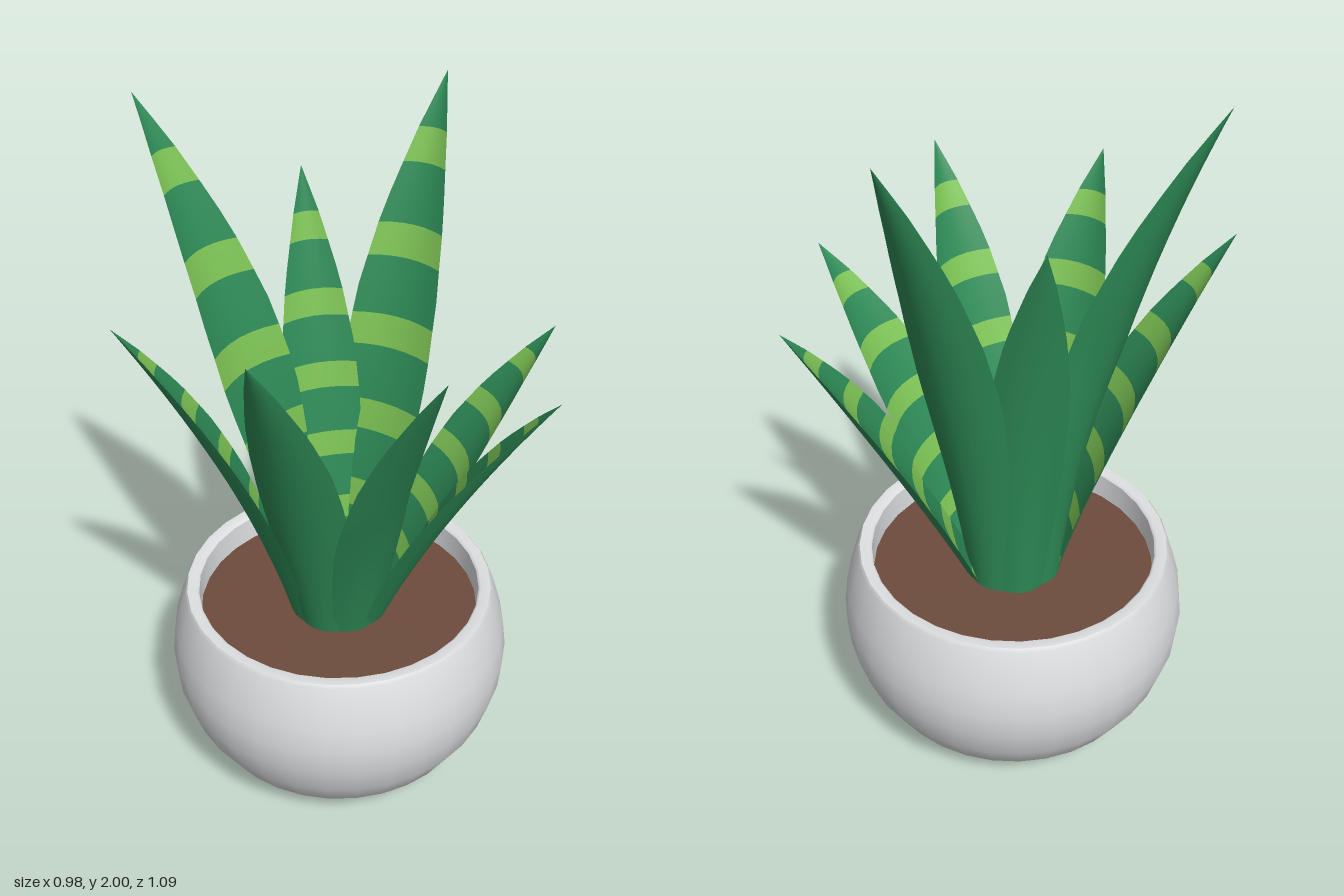
import * as THREE from 'three';

const mat = (name, color) => {
  const m = new THREE.MeshStandardMaterial({ color });
  m.name = name;
  return m;
};

const BASE_Y = 0.49;
const BASE_RADIUS = 0.135;
const COLS = 6;
const STRIPES = 6;

// Half width of a leaf along its length, as [t, half width] pairs
const WIDTHS = [[0, 0.07], [0.2, 0.1], [0.35, 0.12], [0.48, 0.126], [0.62, 0.116],
  [0.76, 0.088], [0.9, 0.042], [1, 0]];

function halfWidth(t) {
  for (let i = 1; i < WIDTHS.length; i++) {
    const [t0, w0] = WIDTHS[i - 1];
    const [t1, w1] = WIDTHS[i];
    if (t <= t1) return THREE.MathUtils.lerp(w0, w1, (t - t0) / (t1 - t0));
  }
  return 0;
}

// Rows along the leaf: each one starts a dark or a light band
function leafRows() {
  const rows = [{ t: 0, light: false }];
  for (let k = 0; k < STRIPES; k++) {
    rows.push({ t: (k + 0.07) / STRIPES, light: true });
    rows.push({ t: (k + 0.43) / STRIPES, light: false });
    rows.push({ t: (k + 0.75) / STRIPES, light: false });
  }
  rows.push({ t: 1, light: false });
  return rows;
}

// A fleshy blade: a rounded plain back and a flatter striped face sharing their edges.
// A lean of 1 is a straight leaf, a lower one stands up first and bends out later.
function makeLeaf({ x, y, z, lean, width = 1, twist = 0 }, dark, light) {
  const rows = leafRows();
  const angle = Math.atan2(z, x);
  const reach = Math.hypot(x, z);
  const facePoints = [];
  const backPoints = [];
  for (const { t } of rows) {
    const r = BASE_RADIUS + (reach - BASE_RADIUS) * (lean * t + (1 - lean) * t * t);
    const hw = halfWidth(t) * width;
    const a = angle + twist * Math.min(1, t * 2);
    const edge = hw * 0.42;
    const thickness = 0.038 * (1 - t ** 1.5);
    for (let c = 0; c <= COLS; c++) {
      const u = (c / COLS) * 2 - 1;
      const addPoint = (points, inward) => points.push(
        Math.cos(angle) * r - Math.sin(a) * u * hw - Math.cos(a) * inward,
        THREE.MathUtils.lerp(BASE_Y, y, t),
        Math.sin(angle) * r + Math.cos(a) * u * hw - Math.sin(a) * inward,
      );
      addPoint(backPoints, edge * u * u);
      addPoint(facePoints, THREE.MathUtils.lerp(thickness, edge, u * u));
    }
  }

  const face = new THREE.BufferGeometry();
  const back = new THREE.BufferGeometry();
  const faceIndex = [];
  const backIndex = [];
  for (let i = 0; i < rows.length - 1; i++) {
    face.addGroup(faceIndex.length, COLS * 6, rows[i].light ? 1 : 0);
    for (let c = 0; c < COLS; c++) {
      const p = i * (COLS + 1) + c;
      const q = p + COLS + 1;
      faceIndex.push(p, p + 1, q, p + 1, q + 1, q);
      backIndex.push(p, q, p + 1, p + 1, q, q + 1);
    }
  }
  for (const [geo, points, index] of [[face, facePoints, faceIndex], [back, backPoints, backIndex]]) {
    geo.setAttribute('position', new THREE.Float32BufferAttribute(points, 3));
    geo.setIndex(index);
    geo.computeVertexNormals();
  }

  const leaf = new THREE.Group();
  leaf.name = 'leaf';
  const faceMesh = new THREE.Mesh(face, [dark, light]);
  faceMesh.name = 'stripedLeafFace';
  const backMesh = new THREE.Mesh(back, dark);
  backMesh.name = 'plainLeafBack';
  leaf.add(faceMesh, backMesh);
  return leaf;
}

export function createModel() {
  const ceramic = mat('ceramic', 0xdfe0e2);
  const earth = mat('soil', 0x6d4c3d);
  const dark = mat('leaf green', 0x2e8b57);
  const light = mat('stripe green', 0x7cc254);

  const model = new THREE.Group();
  model.name = 'pottedPlant';
  const plant = new THREE.Group();
  plant.name = 'plantAndPot';
  plant.position.set(-0.005, 0, -0.061);
  model.add(plant);

  // Round pot with an open rim; repeated points keep an edge sharp
  const profile = [[0, 0], [0.3, 0], [0.3, 0], [0.39, 0.095], [0.447, 0.19], [0.477, 0.285],
    [0.485, 0.37], [0.476, 0.45], [0.457, 0.52], [0.441, 0.57], [0.434, 0.58], [0.434, 0.58],
    [0.407, 0.58], [0.4, 0.573], [0.4, 0.573], [0.396, 0.48]];
  const pot = new THREE.Mesh(
    new THREE.LatheGeometry(profile.map(([r, y]) => new THREE.Vector2(r, y)), 32), ceramic);
  pot.name = 'pot';
  plant.add(pot);

  // Soil
  const soil = new THREE.Mesh(new THREE.CircleGeometry(0.398, 32), earth);
  soil.name = 'soil';
  soil.rotation.x = -Math.PI / 2;
  soil.position.y = 0.5;
  plant.add(soil);

  // Leaves, each given by its tip
  const tips = [
    { x: -0.195, y: 2.0, z: -0.475, lean: 0.25, twist: 0.45 },
    { x: 0.49, y: 1.95, z: -0.02, lean: 0.45, twist: -0.15 },
    { x: 0.205, y: 1.715, z: -0.28, lean: 0.45, width: 0.87 },
    { x: -0.465, y: 1.51, z: -0.34, lean: 0.6 },
    { x: -0.485, y: 1.585, z: 0.12, lean: 0.7 },
    { x: -0.236, y: 1.57, z: 0.51, lean: 0.65, twist: -0.3 },
    { x: 0.125, y: 1.365, z: 0.603, lean: 0.75 },
    { x: 0.471, y: 1.34, z: 0.37, lean: 0.85 },
  ];
  for (const tip of tips) plant.add(makeLeaf(tip, dark, light));

  return model;
}
